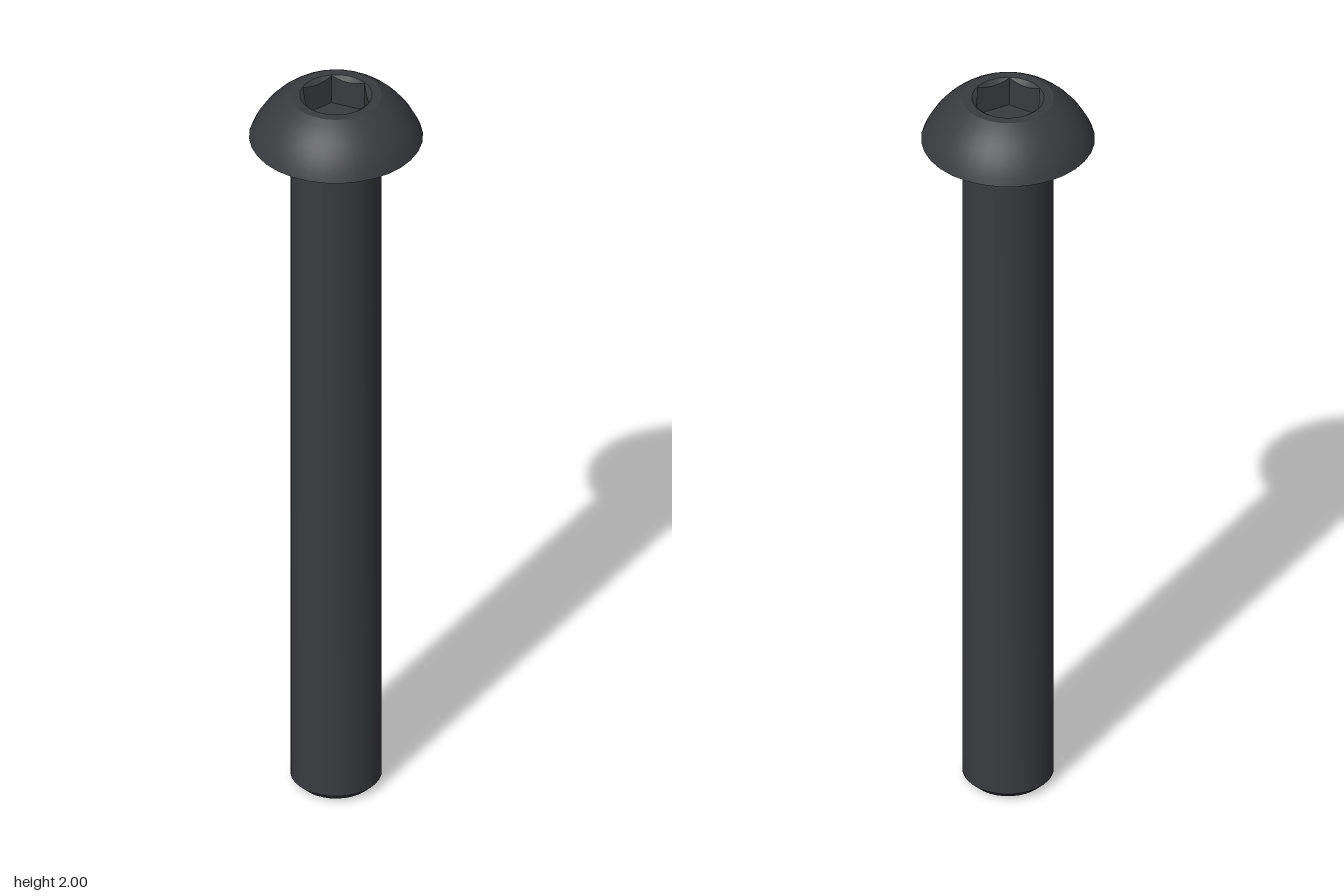
import * as THREE from 'three';
import { toCreasedNormals } from 'three/addons/utils/BufferGeometryUtils.js';

const SIDES = 32;
const HEAD_R = 0.213, HEAD_BASE = 1.88, TOP = 2, TOP_R = 0.112;
const SHANK_R = 0.112, CHAMFER = 0.02;
const RIM_R = 0.0885, HEX_R = 0.0875, SOCKET_DEPTH = 0.08;

const material = new THREE.MeshStandardMaterial({ color: 0x3a3b3f });

function addPart(group, name, geometry) {
  const mesh = new THREE.Mesh(toCreasedNormals(geometry, 0.4), material);
  mesh.name = name;
  group.add(mesh);
}

function lathe(points) {
  return new THREE.LatheGeometry(points.map(([r, y]) => new THREE.Vector2(r, y)), SIDES);
}

// Distance from the centre to the edge of a regular polygon with a corner on +x
function polygonRadius(cornerR, n, angle) {
  const half = Math.PI / n;
  return cornerR * Math.cos(half) / Math.cos((angle % (2 * half)) - half);
}

// Surface through rings listed from the outside in; each ring maps an angle to [radius, y]
function ringSurface(rings, steps) {
  const positions = [], index = [];
  for (const ring of rings) {
    for (let i = 0; i < steps; i++) {
      const a = (i / steps) * Math.PI * 2;
      const [r, y] = ring(a);
      positions.push(r * Math.cos(a), y, r * Math.sin(a));
    }
  }
  for (let k = 0; k < rings.length - 1; k++) {
    for (let i = 0; i < steps; i++) {
      const j = (i + 1) % steps;
      const a = k * steps + i, b = k * steps + j;
      const c = a + steps, d = b + steps;
      index.push(a, c, b);
      if (k < rings.length - 2) index.push(c, d, b); // last ring is a single point
    }
  }
  const geometry = new THREE.BufferGeometry();
  geometry.setAttribute('position', new THREE.Float32BufferAttribute(positions, 3));
  geometry.setIndex(index);
  return geometry;
}

export function createModel() {
  const group = new THREE.Group();
  group.name = 'buttonHeadScrew';

  // Shank with a chamfered tip
  addPart(group, 'shank', lathe([
    [0, 0], [SHANK_R - CHAMFER, 0], [SHANK_R, CHAMFER], [SHANK_R, HEAD_BASE],
  ]));

  // Domed head: flat underside, then a circular arc centred on the axis
  const centreY = (TOP + HEAD_BASE) / 2
    - (HEAD_R ** 2 - TOP_R ** 2) / (2 * (TOP - HEAD_BASE));
  const domeR = Math.hypot(TOP_R, TOP - centreY);
  const start = Math.atan2(HEAD_BASE - centreY, HEAD_R);
  const end = Math.atan2(TOP - centreY, TOP_R);
  const profile = [[SHANK_R, HEAD_BASE]];
  for (let i = 0; i <= 8; i++) {
    const a = start + (end - start) * i / 8;
    profile.push([domeR * Math.cos(a), centreY + domeR * Math.sin(a)]);
  }
  addPart(group, 'head', lathe(profile));

  // Flat top, countersunk rim, hexagonal walls and floor
  const hex = (a) => polygonRadius(HEX_R, 6, a);
  const floorY = TOP - SOCKET_DEPTH;
  addPart(group, 'hexSocket', ringSurface([
    (a) => [polygonRadius(TOP_R, SIDES, a), TOP],
    () => [RIM_R, TOP],
    (a) => [hex(a), TOP - (RIM_R - hex(a)) * 0.8],
    (a) => [hex(a), floorY],
    () => [0, floorY],
  ], SIDES * 3));

  return group;
}
